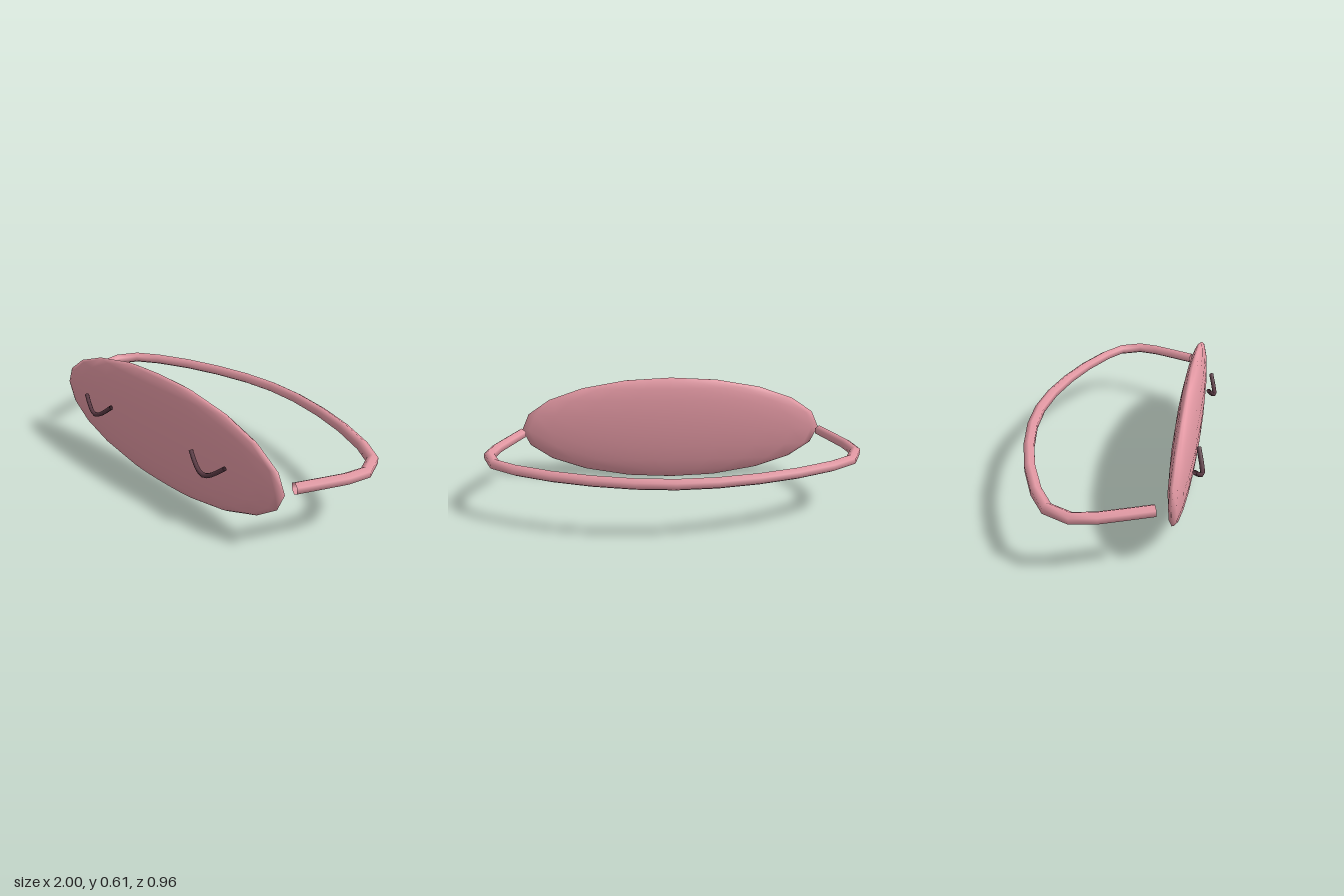
import * as THREE from 'three';

const pink = new THREE.MeshStandardMaterial({ color: 0xe59aa5, side: THREE.DoubleSide });
const dark = new THREE.MeshStandardMaterial({ color: 0x5a3a44, side: THREE.DoubleSide });

// Open tube whose rings sit exactly on the given points
function tubeThrough(points, radius, sides, steps = 1) {
  const curve = new THREE.CatmullRomCurve3(points);
  curve.getUtoTmapping = (u) => u;
  return new THREE.TubeGeometry(curve, (points.length - 1) * steps, radius, sides);
}

function addMesh(parent, name, geometry, material) {
  const mesh = new THREE.Mesh(geometry, material);
  mesh.name = name;
  parent.add(mesh);
  return mesh;
}

export function createModel() {
  const model = new THREE.Group();
  model.name = 'sleepMask';

  // Flattened padded mask
  const mask = addMesh(model, 'mask', new THREE.SphereGeometry(1, 20, 10), pink);
  mask.scale.set(0.865, 0.305, 0.06);
  mask.position.set(0, 0.308, 0.366);

  // Head strap: half outline in plan [x, z], mirrored across the back
  const half = [
    [0.855, 0.295], [0.905, 0.175], [0.952, 0.06], [0.974, -0.05],
    [0.922, -0.168], [0.8, -0.25], [0.61, -0.335], [0.41, -0.398], [0.2, -0.441],
  ];
  const mirrored = half.map(([x, z]) => [-x, z]).reverse();
  const path = [...half, [0, -0.456], ...mirrored]
    .map(([x, z]) => new THREE.Vector3(x, 0.31, z));
  addMesh(model, 'strap', tubeThrough(path, 0.03, 6), pink);

  // Closed eyelids, tilted away from the mask at the bottom
  const lid = [
    [-0.117, 0.34, 0.438], [-0.05, 0.287, 0.46], [0, 0.27, 0.468],
    [0.05, 0.287, 0.46], [0.117, 0.34, 0.438],
  ].map((p) => new THREE.Vector3(...p));
  const lidGeometry = tubeThrough(lid, 0.012, 6, 2);
  for (const [name, x] of [['rightEyelid', -0.445], ['leftEyelid', 0.445]]) {
    addMesh(model, name, lidGeometry, dark).position.x = x;
  }

  return model;
}
